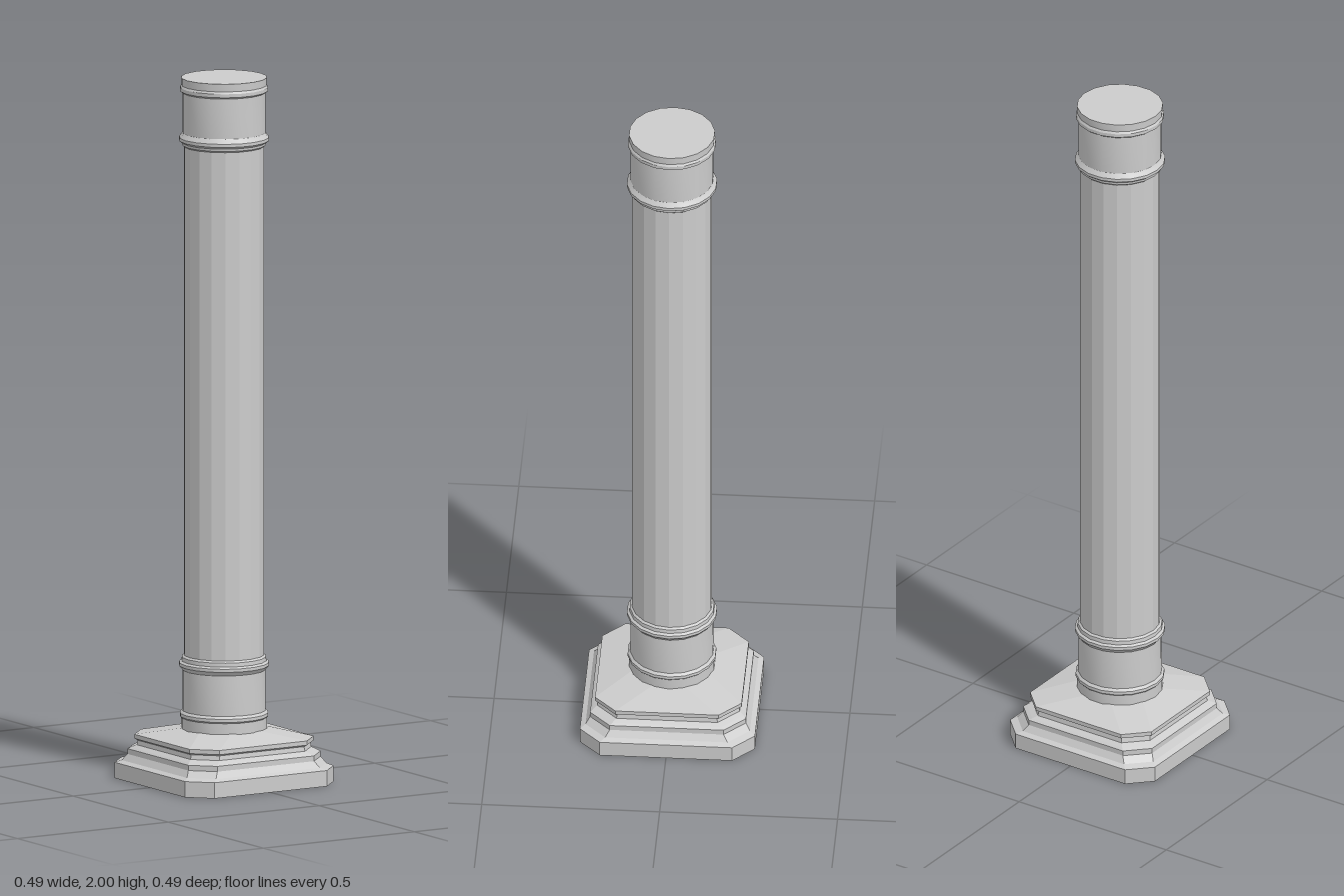
import * as THREE from 'three';
import { toCreasedNormals } from 'three/addons/utils/BufferGeometryUtils.js';

const SIDES = 18;
const stone = new THREE.MeshStandardMaterial({ color: 0xcccccc });
const facetedStone = new THREE.MeshStandardMaterial({ color: 0xcccccc, flatShading: true });

// Turned part from [radius, y] points, with a corner of the polygon on +x
function turned(name, points, faceted = false) {
  let geometry = new THREE.LatheGeometry(points.map(([r, y]) => new THREE.Vector2(r, y)), SIDES);
  geometry.rotateY(Math.PI / 2);
  if (!faceted) geometry = toCreasedNormals(geometry, 0.45);
  const mesh = new THREE.Mesh(geometry, faceted ? facetedStone : stone);
  mesh.name = name;
  return mesh;
}

// Square with cut corners, counted from +z towards +x
function cutSquare(half, flat, y) {
  const ring = [];
  for (let i = 0; i < 4; i++) {
    const c = Math.cos(i * Math.PI / 2), s = Math.sin(i * Math.PI / 2);
    for (const x of [-flat, flat]) ring.push([x * c + half * s, y, half * c - x * s]);
  }
  return ring;
}

// Stacked cut squares [y, half width, half flat], closed below and above
function steppedBase(name, levels) {
  const positions = [];
  const rings = levels.map(([y, half, flat]) => cutSquare(half, flat, y));
  const top = rings[rings.length - 1];
  for (let j = 0; j < 8; j++) {
    const k = (j + 1) % 8;
    for (let i = 0; i < rings.length - 1; i++) {
      const a = rings[i][j], b = rings[i][k], c = rings[i + 1][k], d = rings[i + 1][j];
      positions.push(...a, ...b, ...c, ...a, ...c, ...d);
    }
    positions.push(...rings[0][k], ...rings[0][j], 0, levels[0][0], 0);
    positions.push(...top[j], ...top[k], 0, top[0][1], 0);
  }
  const geometry = new THREE.BufferGeometry();
  geometry.setAttribute('position', new THREE.Float32BufferAttribute(positions, 3));
  geometry.computeVertexNormals();
  const mesh = new THREE.Mesh(geometry, facetedStone);
  mesh.name = name;
  return mesh;
}

export function createModel() {
  const column = new THREE.Group();
  column.name = 'column';

  // Plinth, moulded steps and sloping top
  column.add(steppedBase('base', [
    [0, 0.246, 0.186], [0.045, 0.246, 0.186],
    [0.052, 0.231, 0.172], [0.07, 0.219, 0.16], [0.085, 0.219, 0.16],
    [0.09, 0.212, 0.153], [0.097, 0.2, 0.142], [0.11, 0.198, 0.14],
    [0.115, 0.206, 0.145], [0.127, 0.206, 0.145], [0.15, 0.112, 0.048],
  ]));

  // Lower drum with a foot ring and a collar
  column.add(turned('lowerDrum', [
    [0.121, 0.13], [0.121, 0.18], [0.125, 0.184], [0.125, 0.193], [0.118, 0.2],
    [0.117, 0.315], [0.121, 0.321], [0.127, 0.327], [0.127, 0.336],
    [0.12, 0.341], [0.119, 0.352], [0.112, 0.358], [0, 0.358],
  ]));

  // Faceted shaft
  column.add(turned('shaft', [[0.113, 0.355], [0.113, 1.805]], true));

  // Upper drum with a collar and a top ring
  column.add(turned('upperDrum', [
    [0, 1.803], [0.112, 1.803], [0.118, 1.808], [0.119, 1.815], [0.127, 1.821],
    [0.127, 1.83], [0.121, 1.837], [0.117, 1.843], [0.117, 1.957],
    [0.124, 1.962], [0.124, 1.972], [0.12, 1.978], [0.121, 2], [0, 2],
  ]));

  return column;
}
